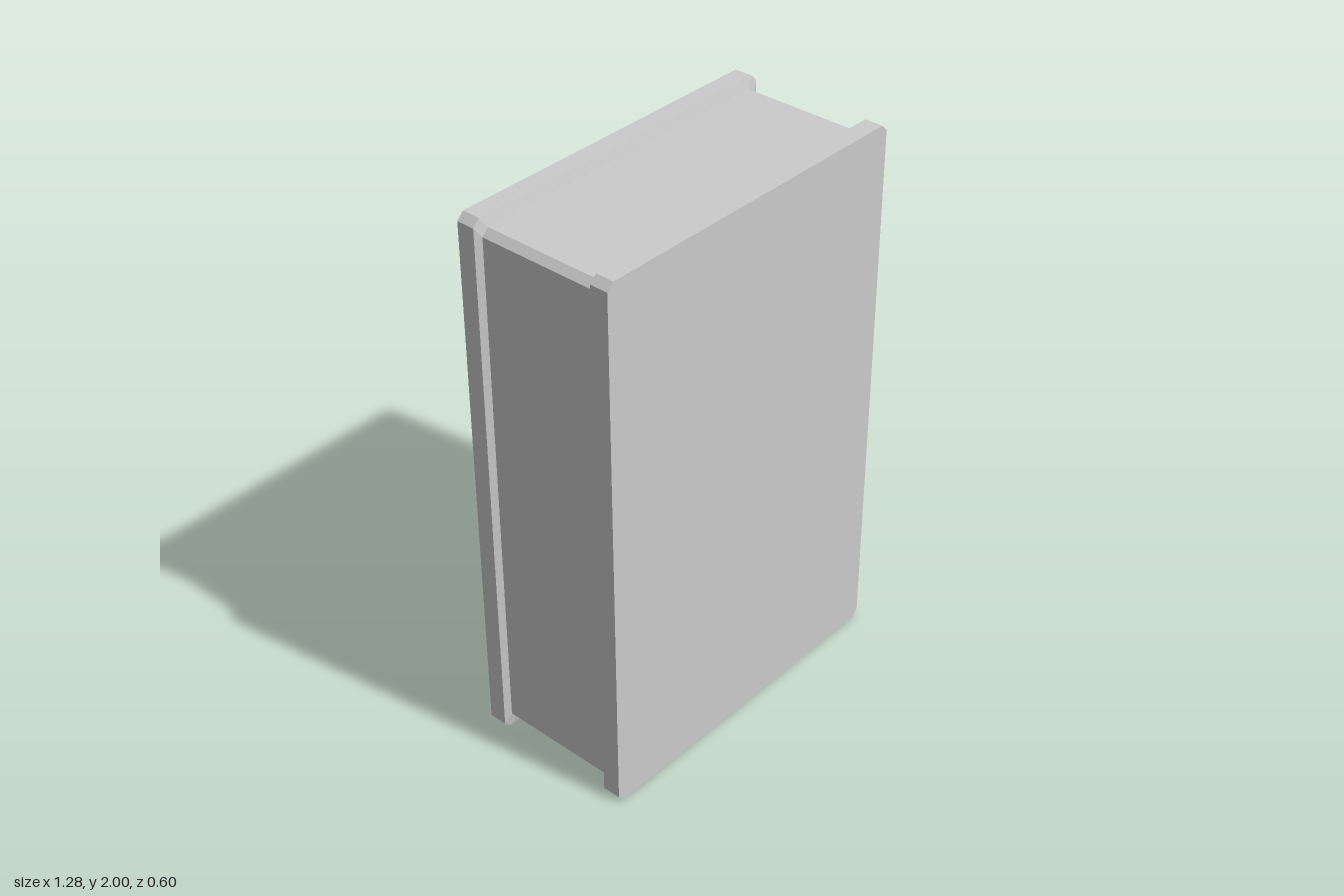
import * as THREE from 'three';

const material = new THREE.MeshStandardMaterial({ color: 0xcccccc, flatShading: true });

// Rectangle with cut corners, counter-clockwise seen from +z
function outline(w, h, c, z) {
  return [
    [w, -h + c], [w, h - c], [w - c, h], [-w + c, h],
    [-w, h - c], [-w, -h + c], [-w + c, -h], [w - c, -h],
  ].map(([x, y]) => [x, y, z]);
}

// Skin between rings ordered from low z to high z, with flat end caps where asked
function loft(name, rings, capBack, capFront) {
  const positions = [];
  const tri = (a, b, c) => positions.push(...a, ...b, ...c);
  for (let r = 0; r < rings.length - 1; r++) {
    const lo = rings[r], hi = rings[r + 1];
    for (let i = 0; i < 8; i++) {
      const j = (i + 1) % 8;
      tri(lo[i], lo[j], hi[j]);
      tri(lo[i], hi[j], hi[i]);
    }
  }
  const back = rings[0], front = rings[rings.length - 1];
  for (let i = 1; i < 7; i++) {
    if (capBack) tri(back[0], back[i + 1], back[i]);
    if (capFront) tri(front[0], front[i], front[i + 1]);
  }
  const geometry = new THREE.BufferGeometry();
  geometry.setAttribute('position', new THREE.Float32BufferAttribute(positions, 3));
  geometry.computeVertexNormals();
  const mesh = new THREE.Mesh(geometry, material);
  mesh.name = name;
  mesh.position.y = 1;
  return mesh;
}

export function createModel() {
  const group = new THREE.Group();
  group.name = 'flangedBlock';

  const inner = (z) => outline(0.615, 0.963, 0.024, z);
  const outer = (z) => outline(0.64, 1, 0.025, z);

  // Recessed middle block
  group.add(loft('core', [inner(-0.222), inner(0.222)], false, false));

  // Wider plates, each sloping down to the core on its inner side
  group.add(loft('frontPlate', [inner(0.222), outer(0.232), outer(0.298)], false, true));
  group.add(loft('backPlate', [outer(-0.298), outer(-0.232), inner(-0.222)], true, false));

  return group;
}
